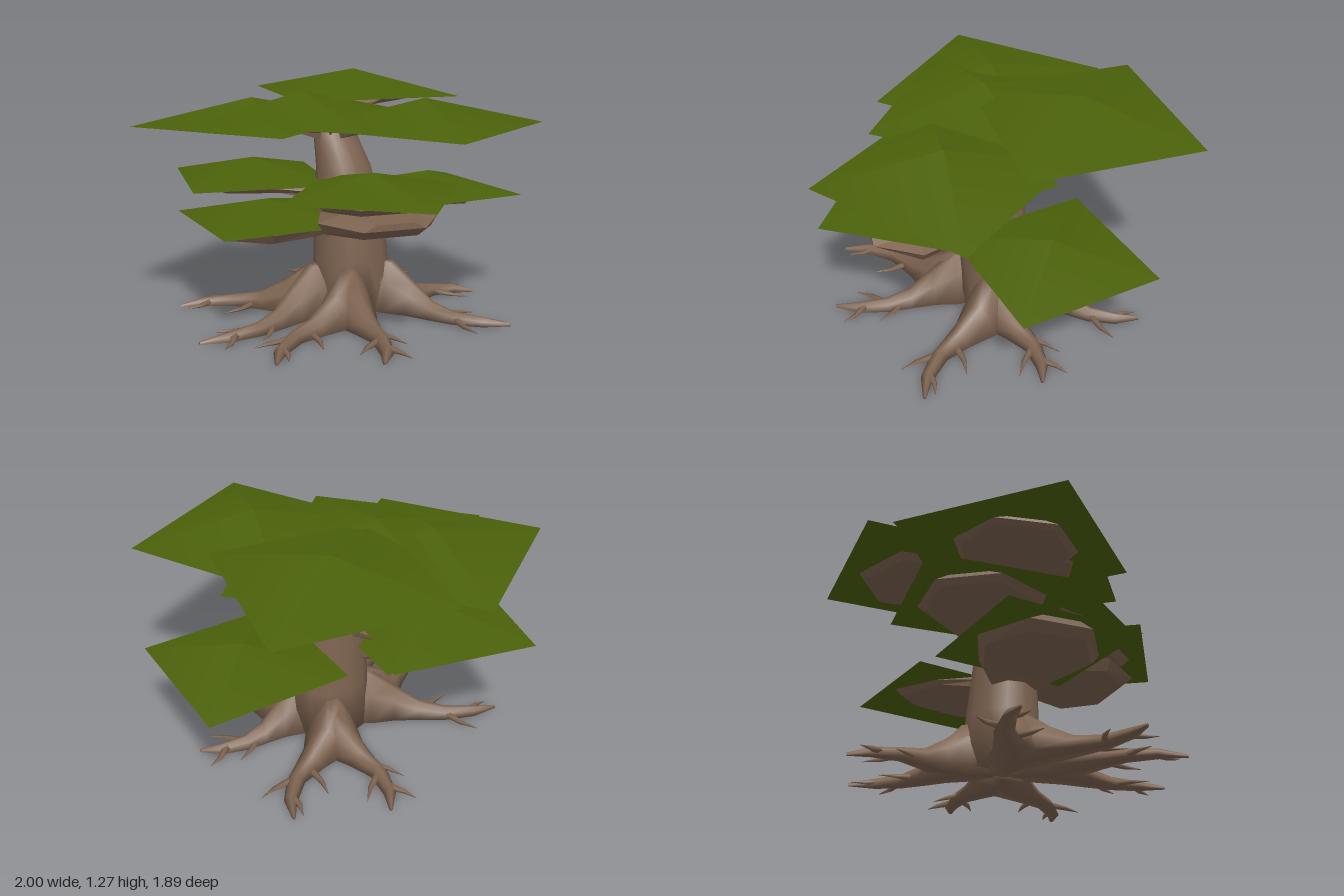
import * as THREE from 'three';

const bark = new THREE.MeshStandardMaterial({ color: 0x7d6350 });
bark.name = 'bark brown';
const leaf = new THREE.MeshStandardMaterial({ color: 0x4b610a });
leaf.name = 'leaf green';

// Skin a list of closed rings, with caps at both ends
function loft(rings, flat = false) {
  const n = rings[0].length, pos = [], idx = [];
  for (const ring of rings) for (const p of ring) pos.push(p.x, p.y, p.z);
  for (let i = 0; i < rings.length - 1; i++) {
    for (let j = 0; j < n; j++) {
      const k = (j + 1) % n, a = i * n + j, b = i * n + k;
      idx.push(a, b, a + n, b, b + n, a + n);
    }
  }
  const last = (rings.length - 1) * n;
  for (let j = 1; j < n - 1; j++) {
    idx.push(0, j + 1, j, last, last + j, last + j + 1);
  }
  let g = new THREE.BufferGeometry();
  g.setAttribute('position', new THREE.Float32BufferAttribute(pos, 3));
  g.setIndex(idx);
  if (flat) g = g.toNonIndexed();
  g.computeVertexNormals();
  return g;
}

function ellipse(c, s, u, rs, ru, n) {
  return Array.from({ length: n }, (_, j) => {
    const a = (j / n) * Math.PI * 2;
    return c.clone().addScaledVector(s, rs * Math.cos(a)).addScaledVector(u, ru * Math.sin(a));
  });
}

const V = (x, y, z) => new THREE.Vector3(x, y, z);
const UP = V(0, 1, 0);
const sideOf = (d) => V(d.z, 0, -d.x).normalize();

// Trunk sections: y, centre x, centre z, radius x, radius z
const trunkRows = [
  [0.02, 0.085, -0.05, 0.22, 0.2],
  [0.3, 0.085, -0.055, 0.21, 0.185],
  [0.6, 0.065, -0.055, 0.182, 0.165],
  [0.8, 0.05, -0.075, 0.15, 0.135],
  [0.95, 0.03, -0.12, 0.125, 0.095],
  [1.06, 0.02, -0.14, 0.11, 0.075],
];

function trunkCentre(y) {
  let i = 0;
  while (i < trunkRows.length - 2 && trunkRows[i + 1][0] < y) i++;
  const a = trunkRows[i], b = trunkRows[i + 1];
  const t = THREE.MathUtils.clamp((y - a[0]) / (b[0] - a[0]), 0, 1);
  return V(a[1] + (b[1] - a[1]) * t, 0, a[2] + (b[2] - a[2]) * t);
}

// Leaf layers: centre x, z, base y, height, corner offset x, z, branch reach past centre, branch depth
const layers = [
  [0.32, -0.415, 1.15, 0.127, 0.535, -0.345, 0.33, 0.042],
  [0.28, 0.345, 1.047, 0.139, 0.6, 0.21, 0.22, 0.03],
  [-0.38, -0.3, 1.036, 0.129, -0.62, -0.14, 0.28, 0.035],
  [-0.16, -0.13, 1.06, 0.142, -0.05, 0.64, 0.3, 0.035],
  [-0.31, -0.44, 0.71, 0.11, -0.26, -0.46, 0.3, 0.042],
  [-0.03, 0.36, 0.727, 0.107, 0, 0.527, 0.24, 0.062],
  [0.61, -0.075, 0.605, 0.11, 0.39, -0.36, 0.14, 0.035],
  [-0.365, -0.16, 0.54, 0.105, -0.4, 0.34, 0.31, 0.07],
];

// Broad flat branch that fans out from the trunk into a rough hexagon
function branchGeometry(x, z, base, reach, depth) {
  const c = trunkCentre(base - 0.06);
  const d = V(x, 0, z).sub(c);
  const D = d.length();
  d.normalize();
  const s = sideOf(d);
  // distance, half width, bottom, top (relative to the leaf base)
  const rows = [
    [0.06, 0.06, -0.08 - depth * 0.7, -0.03],
    [Math.max(0.1, D - 0.22), 0.22, -depth, 0],
    [D + 0.04, 0.32, -depth, 0.015],
    [D + reach, 0.16, -depth, 0],
  ];
  const rings = rows.map(([dist, w, lo, hi], i) => {
    const p = (k, y, inset = 0) =>
      c.clone().addScaledVector(d, dist - inset).addScaledVector(s, k * w).setY(base + y);
    const mid = lo + (hi - lo) * 0.6;
    const inset = i === 3 ? depth * 0.7 : 0;
    return [p(1, mid), p(0.6, hi), p(-0.6, hi), p(-1, mid), p(-0.88, lo, inset), p(0.88, lo, inset)];
  });
  return loft(rings, true);
}

// Root tips: x, z, sideways bend
const roots = [
  [0.62, 0.66, 0.06], [0.82, 0.09, -0.05], [0.68, -0.62, 0.06], [0.25, -0.84, -0.06],
  [-0.73, -0.51, 0.05], [-0.87, 0.08, -0.06], [-0.67, 0.52, 0.06], [-0.23, 0.77, -0.05],
];
// Root profile: fraction of length, height, half width
const rootRows = [
  [0.06, 0.3, 0.1], [0.24, 0.27, 0.15], [0.38, 0.17, 0.115], [0.53, 0.085, 0.075],
  [0.68, 0.06, 0.048], [0.86, 0.045, 0.034], [1, 0.015, 0.008],
];

function makeRoot([x, z, bend]) {
  const group = new THREE.Group();
  group.name = 'root';
  const c = V(0.085, 0, -0.05), d = V(x, 0, z).sub(c), L = d.length();
  d.normalize();
  const s = sideOf(d);
  const at = (t) => c.clone().addScaledVector(d, L * t).addScaledVector(s, bend * Math.sin(t * Math.PI * 2));
  // Tent-shaped sections with a flat underside
  const body = loft(rootRows.map(([t, h, w]) => {
    const p = (k, f) => at(t).addScaledVector(s, k * w).setY(0.008 + f * h);
    return [p(1, 0.05), p(0.62, 0.6), p(0.2, 0.96), p(-0.2, 0.96), p(-0.62, 0.6), p(-1, 0.05), p(0, 0)];
  }));
  const mesh = new THREE.Mesh(body, bark);
  mesh.name = 'rootBody';
  group.add(mesh);
  // Thin rootlets that fork off on alternate sides
  [[0.55, 1, 0.2], [0.68, -1, 0.19], [0.82, 1, 0.13]].forEach(([t, k, len]) => {
    const dir = d.clone().multiplyScalar(0.7).addScaledVector(s, k * 0.75).normalize();
    const side = sideOf(dir);
    const rings = [[0, 0.024], [0.65, 0.014], [1, 0.002]].map(([f, r]) => {
      const p = at(t).addScaledVector(dir, len * f).addScaledVector(d, f > 0.9 ? 0.03 : 0);
      return ellipse(p.setY(0.03 - 0.015 * f), side, UP, r, r * 0.8, 5);
    });
    const twig = new THREE.Mesh(loft(rings), bark);
    twig.name = 'rootlet';
    group.add(twig);
  });
  return group;
}

export function createModel() {
  const model = new THREE.Group();
  model.name = 'tree';
  const add = (geometry, material, name) => {
    const m = new THREE.Mesh(geometry, material);
    m.name = name;
    model.add(m);
    return m;
  };

  add(loft(trunkRows.map(([y, x, z, rx, rz]) => ellipse(V(x, y, z), V(0, 0, 1), V(1, 0, 0), rz, rx, 12))), bark, 'trunk');
  roots.forEach((r) => model.add(makeRoot(r)));

  // Square, shallow pyramids of leaves with soft shading, each carried by a branch
  for (const [x, z, base, h, ox, oz, reach, depth] of layers) {
    const m = add(new THREE.ConeGeometry(Math.hypot(ox, oz), h, 4), leaf, 'leafLayer');
    m.position.set(x, base + h / 2, z);
    m.rotation.y = Math.atan2(ox, oz);
    add(branchGeometry(x, z, base, reach, depth), bark, 'branch');
  }
  // Bare front branch
  add(branchGeometry(-0.02, 0.36, 0.632, 0.26, 0.08), bark, 'bareBranch');
  return model;
}
